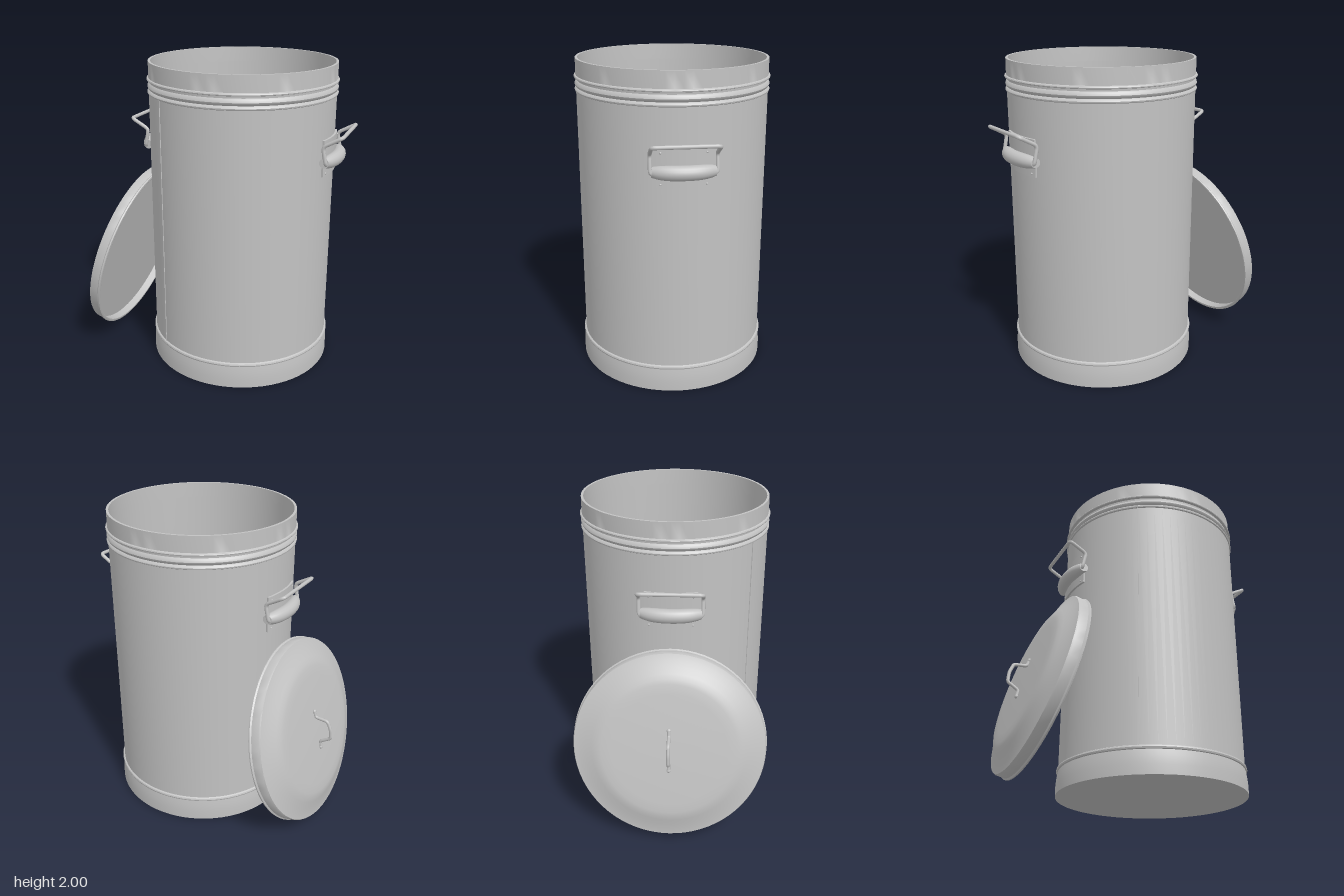
import * as THREE from 'three';
import { toCreasedNormals } from 'three/addons/utils/BufferGeometryUtils.js';

const V3 = (x, y, z) => new THREE.Vector3(x, y, z);

export function createModel() {
  const metal = new THREE.MeshStandardMaterial({ color: 0xc2c2c2 });
  metal.name = 'galvanised metal';

  const root = new THREE.Group();
  root.name = 'dustbin';

  function add(parent, name, geometry) {
    const mesh = new THREE.Mesh(geometry, metal);
    mesh.name = name;
    parent.add(mesh);
    return mesh;
  }

  // Closed [radius, height] profile, turned with crisp rims
  function turned(points) {
    const lathe = new THREE.LatheGeometry(points.map(p => new THREE.Vector2(...p)), 72);
    return toCreasedNormals(lathe, 0.6);
  }

  // Path of straight runs with rounded corners
  function roundedPath(points, r) {
    const path = new THREE.CurvePath();
    let from = points[0];
    for (let i = 1; i < points.length - 1; i++) {
      const p = points[i];
      const a = p.clone().add(points[i - 1].clone().sub(p).setLength(r));
      const b = p.clone().add(points[i + 1].clone().sub(p).setLength(r));
      path.add(new THREE.LineCurve3(from, a));
      path.add(new THREE.QuadraticBezierCurve3(a, p, b));
      from = b;
    }
    path.add(new THREE.LineCurve3(from, points[points.length - 1]));
    return path;
  }

  // Curved plate that hugs the bin wall, centred on the angle given (0 = +x, towards +z)
  function wallPlate(r0, r1, angle, half, y0, y1) {
    const shape = new THREE.Shape();
    shape.absarc(0, 0, r1, -half, half, false);
    shape.absarc(0, 0, r0, half, -half, true);
    const g = new THREE.ExtrudeGeometry(shape, { depth: y1 - y0, bevelEnabled: false, curveSegments: 10 });
    g.rotateX(-Math.PI / 2).rotateY(-angle).translate(0, y0, 0);
    return toCreasedNormals(g, 0.6);
  }

  // Bin body, with base band and rolled beads
  const bin = new THREE.Group();
  bin.name = 'bin';
  bin.position.x = 0.137;
  root.add(bin);
  add(bin, 'binBody', turned([
    [0, 0], [0.607, 0], [0.607, 0.06], [0.603, 0.11], [0.597, 0.148],
    [0.604, 0.151], [0.607, 0.16], [0.604, 0.169], [0.594, 0.174],
    [0.593, 1.8], [0.6, 1.804], [0.602, 1.812], [0.598, 1.82], [0.588, 1.826],
    [0.596, 1.832], [0.601, 1.845], [0.596, 1.86], [0.587, 1.868],
    [0.588, 1.88], [0.603, 1.884], [0.605, 1.89], [0.602, 1.896], [0.594, 1.9],
    [0.593, 2], [0.578, 2], [0.576, 1.9], [0.576, 0.02], [0, 0.02],
  ]));
  add(bin, 'bodySeam', wallPlate(0.585, 0.598, Math.atan2(0.48, -0.347), 0.006, 0.172, 1.803));

  // Side handles: back plate, wire loop and a rolled sleeve holding the wire
  for (const side of ['left', 'right']) {
    const handle = new THREE.Group();
    handle.name = side + 'Handle';
    if (side === 'right') handle.rotation.y = Math.PI;
    bin.add(handle);
    add(handle, 'handlePlate', wallPlate(0.585, 0.606, 0, 0.27, 1.34, 1.57));

    const loop = roundedPath([
      V3(0.61, 1.425, 0), V3(0.606, 1.425, 0.192), V3(0.582, 1.54, 0.192), V3(0.7, 1.605, 0.192),
      V3(0.7, 1.605, -0.192), V3(0.582, 1.54, -0.192), V3(0.606, 1.425, -0.192), V3(0.61, 1.425, 0),
    ], 0.025);
    add(handle, 'handleWire', new THREE.TubeGeometry(loop, 120, 0.012, 8));

    // Sleeve: tube following the wall's curve, narrowing at both ends
    const sleeve = new THREE.CylinderGeometry(1, 1, 0.37, 16, 14).rotateX(Math.PI / 2);
    const p = sleeve.attributes.position;
    for (let i = 0; i < p.count; i++) {
      const z = p.getZ(i), t = (z / 0.185) ** 2;
      const r = 0.044 - 0.014 * t * t;
      p.setXYZ(i, 0.63 - 0.038 * t + p.getX(i) * r, 1.436 + p.getY(i) * r, z);
    }
    sleeve.computeVertexNormals();
    add(handle, 'handleSleeve', toCreasedNormals(sleeve, 0.7));

    // Rivets
    for (const y of [1.36, 1.545]) for (const a of [-0.22, 0.22]) {
      const rivet = add(handle, 'rivet', new THREE.SphereGeometry(0.007, 8, 6));
      rivet.position.set(0.606 * Math.cos(a), y, 0.606 * Math.sin(a));
    }
  }

  // Lid, leaning against the bin's right side
  const lid = new THREE.Group();
  lid.name = 'lid';
  lid.position.set(-0.613, 0.615, 0);
  lid.rotation.z = 1.318;
  root.add(lid);
  add(lid, 'lidShell', turned([
    [0, 0.055], [0.588, 0.055], [0.588, 0.002], [0.596, 0], [0.606, 0.003],
    [0.608, 0.012], [0.6, 0.02], [0.6, 0.07], [0.595, 0.08], [0.583, 0.083],
    [0.56, 0.09], [0.52, 0.104], [0.48, 0.121], [0.45, 0.133], [0.42, 0.139],
    [0.36, 0.142], [0.2, 0.145], [0, 0.148],
  ]));

  // Lid grip with its two feet
  const grip = roundedPath([
    V3(0.13, 0.15, 0), V3(0.088, 0.152, 0), V3(0.062, 0.232, 0), V3(0, 0.242, 0),
    V3(-0.062, 0.232, 0), V3(-0.088, 0.152, 0), V3(-0.13, 0.15, 0),
  ], 0.016);
  add(lid, 'lidGrip', new THREE.TubeGeometry(grip, 70, 0.011, 8));
  for (const s of [-1, 1]) {
    const foot = add(lid, 'gripFoot', new THREE.SphereGeometry(0.014, 10, 8));
    foot.scale.y = 0.8;
    foot.position.set(s * 0.13, 0.15, 0);
  }

  return root;
}
